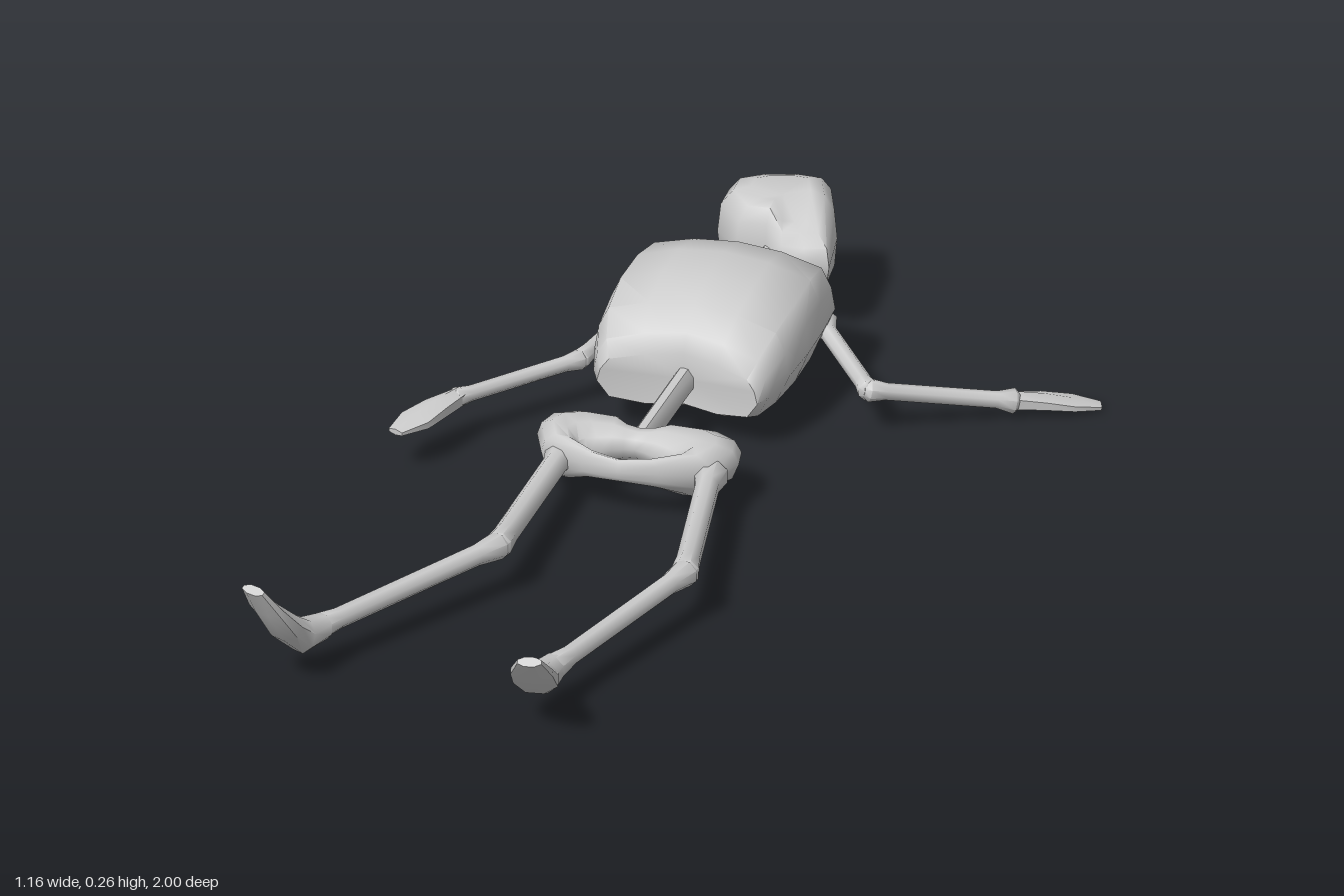
import * as THREE from 'three';
import { toCreasedNormals } from 'three/addons/utils/BufferGeometryUtils.js';

const material = new THREE.MeshStandardMaterial({ color: 0xcccccc });
const V = (x, y, z) => new THREE.Vector3(x, y, z);
const MID = -0.115; // x of the body's centre line

// Skin a series of loops of points; ends are closed by a fan unless the series forms a ring.
function loft(name, loops, { ring = false, caps = [], crease = 0.9 } = {}) {
  const n = loops[0].length, m = loops.length, pts = loops.flat(), index = [];
  for (let i = 0; i < (ring ? m : m - 1); i++) {
    for (let j = 0; j < n; j++) {
      const a = i * n + j, b = i * n + (j + 1) % n;
      const c = ((i + 1) % m) * n + j, d = ((i + 1) % m) * n + (j + 1) % n;
      index.push(a, b, c, b, d, c);
    }
  }
  if (!ring) {
    [0, m - 1].forEach((row, e) => {
      const centre = caps[e] || loops[row].reduce((s, p) => s.add(p), V(0, 0, 0)).divideScalar(n);
      const c = pts.push(centre) - 1;
      for (let j = 0; j < n; j++) {
        const a = row * n + j, b = row * n + (j + 1) % n;
        e ? index.push(a, b, c) : index.push(b, a, c);
      }
    });
  }
  // Turn the faces outward if the enclosed volume comes out negative.
  let volume = 0;
  for (let i = 0; i < index.length; i += 3) {
    volume += pts[index[i]].dot(pts[index[i + 1]].clone().cross(pts[index[i + 2]]));
  }
  if (volume < 0) index.reverse();
  const geometry = new THREE.BufferGeometry().setFromPoints(pts);
  geometry.setIndex(index);
  const mesh = new THREE.Mesh(toCreasedNormals(geometry, crease), material);
  mesh.name = name;
  return mesh;
}

// Sweep along stations [x, y, z, half width, half height] with oval sections.
function sweep(name, stations, sides = 8) {
  const p = stations.map(s => V(s[0], s[1], s[2])), last = p.length - 1;
  return loft(name, stations.map(([, , , w, h], i) => {
    const dir = p[Math.min(i + 1, last)].clone().sub(p[Math.max(i - 1, 0)]).normalize();
    const side = dir.clone().cross(V(0, 1, 0)).normalize();
    const up = side.clone().cross(dir);
    return Array.from({ length: sides }, (_, k) => {
      const a = (k + 0.5) / sides * Math.PI * 2;
      return p[i].clone().addScaledVector(side, Math.cos(a) * w).addScaledVector(up, Math.sin(a) * h);
    });
  }));
}

// Long bone with a slim shaft and a knob at each end.
function bone(name, a, b, shaft, knobA, knobB) {
  const A = V(...a), B = V(...b);
  const steps = [[-0.04, knobA * 0.6], [0, knobA], [0.12, shaft], [0.88, shaft], [1, knobB], [1.04, knobB * 0.6]];
  return sweep(name, steps.map(([t, r]) => [...A.clone().lerp(B, t).toArray(), r, r]));
}

function ribcage() {
  // Half section: share of the half width, share of the height
  const half = [[0, 1], [0.45, 0.96], [0.86, 0.85], [0.96, 0.65], [1, 0.42], [0.86, 0.12], [0.45, 0.01], [0, 0.03]];
  const section = [...half, ...half.slice(1, -1).reverse().map(([x, y]) => [-x, y])];
  // z, half width, bottom, top
  const rows = [[-0.305, 0.155, 0.06, 0.165], [-0.33, 0.17, 0.048, 0.2], [-0.39, 0.188, 0.046, 0.24], [-0.48, 0.196, 0.046, 0.262],
    [-0.57, 0.194, 0.048, 0.267], [-0.65, 0.188, 0.065, 0.25], [-0.685, 0.17, 0.09, 0.215], [-0.696, 0.14, 0.11, 0.18]];
  const loops = rows.map(([z, w, lo, hi], i) => section.map(([x, y]) => {
    const notch = [0.038, 0.03, 0.012][i] || 0; // the lower rim arches up at the middle
    return V(MID + x * w, lo + (hi - lo) * y, z - notch * (1 - Math.abs(x)));
  }));
  return loft('ribcage', loops, { caps: [V(MID, 0.11, -0.35), V(MID, 0.14, -0.693)] });
}

function skull() {
  // Profile of the sideways-turned head, jaw toward the left shoulder
  const profile = [[-0.11, -1], [-0.05, -1], [-0.012, -0.91], [0.013, -0.79], [-0.03, -0.782], [-0.075, -0.78],
    [-0.12, -0.82], [-0.175, -0.815], [-0.23, -0.87], [-0.235, -0.935], [-0.19, -0.972]];
  const layers = [[-0.097, 0.5], [-0.088, 0.76], [-0.055, 0.95], [0, 1], [0.055, 0.95], [0.085, 0.76], [0.095, 0.5]];
  const loops = layers.map(([y, s]) => profile.map(([x, z]) => {
    const jaw = THREE.MathUtils.clamp((z + 0.87) / 0.09, 0, 1) * (x > -0.1 ? 1 : 0.3);
    return V(-0.11 + (x + 0.11) * s, 0.15 + y * (1 - 0.4 * jaw), -0.895 + (z + 0.895) * s);
  }));
  return loft('skull', loops, { crease: 1.1 });
}

function pelvis() {
  // Outer x, z; inner x, z; height of middle; half height
  const half = [[0, -0.118, 0, -0.065, 0.1, 0.03], [0.03, -0.122, 0.02, -0.06, 0.1, 0.034], [0.06, -0.152, 0.04, -0.05, 0.1, 0.038],
    [0.14, -0.156, 0.06, -0.04, 0.097, 0.042], [0.185, -0.13, 0.075, -0.032, 0.095, 0.046], [0.195, -0.085, 0.085, -0.024, 0.093, 0.047],
    [0.165, -0.02, 0.08, -0.012, 0.092, 0.044], [0.075, 0.018, 0.045, 0.008, 0.1, 0.028], [0, 0.032, 0, 0.012, 0.1, 0.022]];
  const rows = [...half, ...half.slice(1, -1).reverse().map(([a, b, c, d, e, f]) => [-a, b, -c, d, e, f])];
  const loops = rows.map(([ox, oz, ix, iz, y, h]) => Array.from({ length: 10 }, (_, k) => {
    const a = k / 10 * Math.PI * 2, t = 0.5 + 0.5 * Math.cos(a);
    return V(MID + ix + (ox - ix) * t, y + Math.sin(a) * h, iz + (oz - iz) * t);
  }));
  return loft('pelvis', loops, { ring: true, crease: 1.2 });
}

function limb(name, ...parts) {
  const group = new THREE.Group();
  group.name = name;
  group.add(...parts);
  return group;
}

export function createModel() {
  const model = new THREE.Group();
  model.name = 'skeleton';
  model.add(
    skull(), ribcage(), pelvis(),
    sweep('neck', [[MID, 0.138, -0.86, 0.017, 0.024], [MID, 0.138, -0.66, 0.017, 0.024]]),
    sweep('spine', [[MID, 0.11, -0.4, 0.02, 0.028], [MID, 0.1, -0.1, 0.02, 0.028]]));

  // Arms: upper bone, forearm, flat tapering hand
  model.add(limb('rightArm',
    bone('upperArm', [-0.285, 0.11, -0.64], [-0.335, 0.092, -0.4], 0.017, 0.03, 0.02),
    bone('forearm', [-0.335, 0.092, -0.4], [-0.5, 0.09, -0.18], 0.015, 0.02, 0.02),
    sweep('hand', [[-0.495, 0.09, -0.19, 0.018, 0.02], [-0.52, 0.09, -0.13, 0.03, 0.018],
      [-0.542, 0.087, -0.075, 0.037, 0.013], [-0.562, 0.085, -0.022, 0.018, 0.006]], 6)));
  model.add(limb('leftArm',
    bone('upperArm', [0.05, 0.11, -0.645], [0.205, 0.09, -0.455], 0.017, 0.03, 0.022),
    bone('forearm', [0.205, 0.09, -0.455], [0.435, 0.037, -0.6], 0.016, 0.022, 0.024),
    sweep('hand', [[0.425, 0.038, -0.595, 0.02, 0.02], [0.48, 0.028, -0.635, 0.03, 0.015],
      [0.53, 0.02, -0.66, 0.032, 0.01], [0.575, 0.011, -0.682, 0.016, 0.006]], 6)));

  // Legs: thigh, shin, upturned foot
  model.add(limb('rightLeg',
    bone('thigh', [-0.245, 0.085, -0.04], [-0.225, 0.1, 0.385], 0.023, 0.034, 0.027),
    bone('shin', [-0.225, 0.1, 0.385], [-0.44, 0.085, 0.785], 0.02, 0.027, 0.027),
    sweep('foot', [[-0.43, 0.085, 0.77, 0.024, 0.026], [-0.455, 0.085, 0.82, 0.034, 0.034],
      [-0.475, 0.12, 0.86, 0.043, 0.028], [-0.495, 0.175, 0.905, 0.04, 0.016], [-0.508, 0.225, 0.94, 0.026, 0.01]])));
  model.add(limb('leftLeg',
    bone('thigh', [0.04, 0.085, -0.04], [0.135, 0.1, 0.38], 0.023, 0.034, 0.027),
    bone('shin', [0.135, 0.1, 0.38], [0.018, 0.08, 0.79], 0.02, 0.027, 0.027),
    sweep('foot', [[0.018, 0.08, 0.78, 0.026, 0.026], [0.012, 0.08, 0.83, 0.034, 0.032],
      [0.018, 0.1, 0.88, 0.045, 0.028], [0.03, 0.145, 0.94, 0.042, 0.016], [0.042, 0.19, 0.988, 0.024, 0.01]])));
  return model;
}
